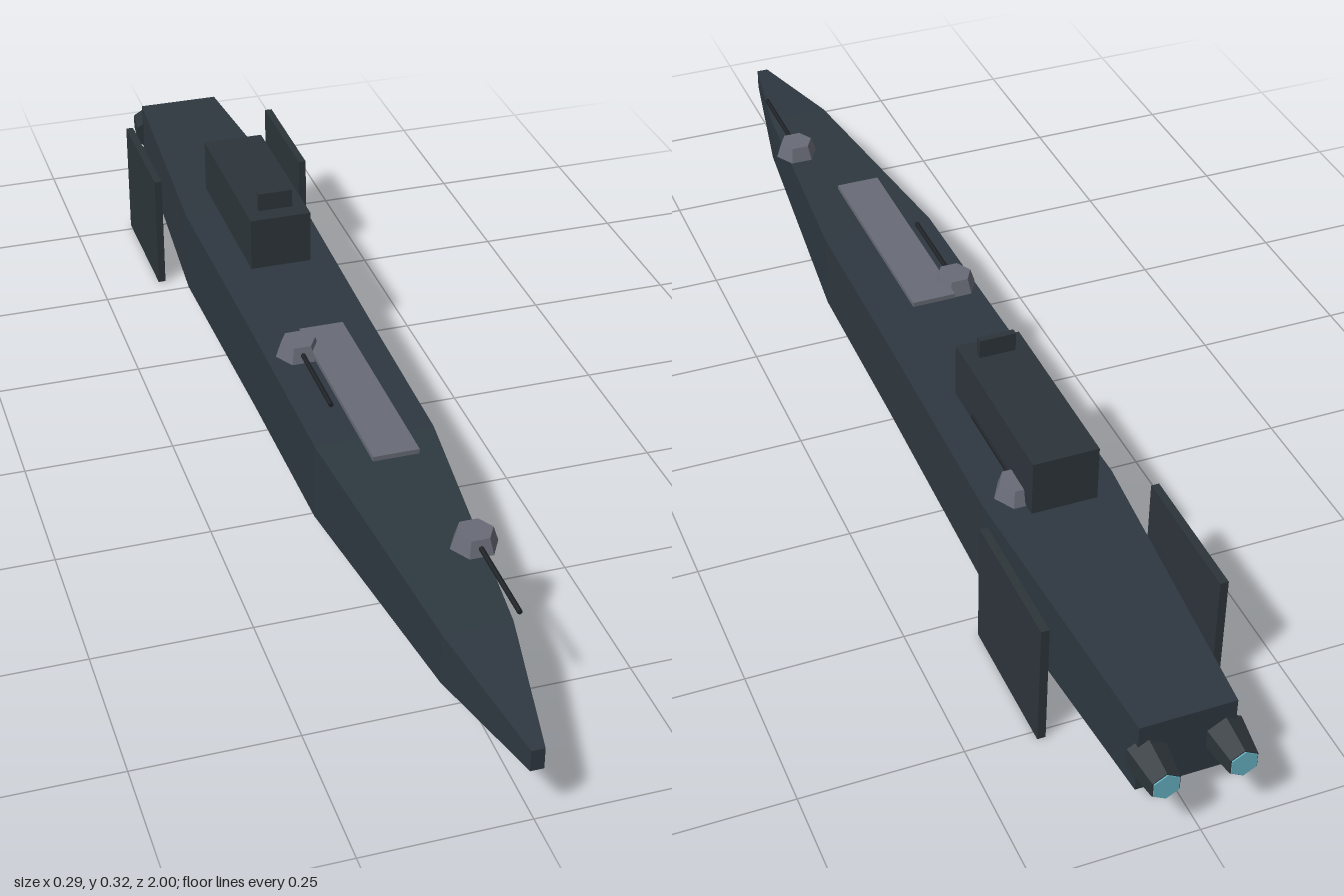
import * as THREE from 'three';

export function createModel() {
  const model = new THREE.Group();
  model.name = 'warship';

  const paint = (name, color) => {
    const m = new THREE.MeshStandardMaterial({ color, flatShading: true });
    m.name = name;
    return m;
  };
  const hullPaint = paint('hull slate', 0x2e3840);
  const finPaint = paint('structure slate', 0x2d353a);
  const lightGrey = paint('light grey', 0x686b76);
  const darkMetal = paint('dark metal', 0x1e2226);
  const glow = paint('engine glow', 0x66b0c2);

  const add = (name, geometry, material, x, y, z, parent = model) => {
    const mesh = new THREE.Mesh(geometry, material);
    mesh.name = name;
    mesh.position.set(x, y, z);
    parent.add(mesh);
    return mesh;
  };
  const box = (name, w, h, d, material, x, y, z) =>
    add(name, new THREE.BoxGeometry(w, h, d), material, x, y, z);

  // Hull: rectangular sections from bow to stern [z, half width, bottom, top]
  const sections = [
    [1, 0.01, 0.088, 0.123],
    [0.77, 0.053, 0.064, 0.149],
    [0.31, 0.097, 0.039, 0.172],
    [-0.02, 0.1, 0.036, 0.175],
    [-0.45, 0.107, 0.031, 0.179],
    [-0.94, 0.074, 0.047, 0.166],
  ];
  const points = [];
  const faces = [];
  sections.forEach(([z, w, lo, hi], i) => {
    points.push(-w, lo, z, w, lo, z, w, hi, z, -w, hi, z);
    if (i === 0) return;
    for (let k = 0; k < 4; k++) {
      const a = (i - 1) * 4 + k, b = (i - 1) * 4 + (k + 1) % 4;
      faces.push(a, a + 4, b, b, a + 4, b + 4);
    }
  });
  const last = (sections.length - 1) * 4;
  faces.push(0, 1, 2, 0, 2, 3, last, last + 2, last + 1, last, last + 3, last + 2);
  const hullShape = new THREE.BufferGeometry();
  hullShape.setAttribute('position', new THREE.Float32BufferAttribute(points, 3));
  hullShape.setIndex(faces);
  const hullFlat = hullShape.toNonIndexed();
  hullFlat.computeVertexNormals();
  add('hull', hullFlat, hullPaint, 0, 0, 0);

  // Superstructure and deck plate
  box('bridge', 0.106, 0.093, 0.31, finPaint, 0, 0.2415, -0.36);
  box('bridgeMast', 0.06, 0.032, 0.011, finPaint, 0, 0.304, -0.242);
  box('deckPlate', 0.074, 0.008, 0.385, lightGrey, 0, 0.205, 0.222);

  // Side fins and twin engines
  for (const [side, s] of [['left', 1], ['right', -1]]) {
    box(side + 'Fin', 0.013, 0.21, 0.23, finPaint, s * 0.1375, 0.105, -0.65);

    const engine = new THREE.Group();
    engine.name = side + 'Engine';
    engine.position.set(s * 0.058, 0.107, -0.965);
    engine.rotation.x = -Math.PI / 2;
    model.add(engine);
    add('nozzle', new THREE.CylinderGeometry(0.024, 0.033, 0.066, 6), finPaint, 0, 0, 0, engine);
    add('exhaustGlow', new THREE.CylinderGeometry(0.022, 0.022, 0.004, 6), glow, 0, 0.033, 0, engine);
  }

  // Gun barrels lie along z
  const barrel = new THREE.CylinderGeometry(0.004, 0.004, 0.157, 6).rotateX(Math.PI / 2);

  // Deck turrets, alternating sides
  const turretBody = new THREE.CylinderGeometry(0.029, 0.0375, 0.026, 6).rotateY(Math.PI / 6);
  for (const [x, y, z] of [[0.053, 0.18, 0.61], [-0.053, 0.205, 0.075], [0.053, 0.205, -0.46]]) {
    const turret = new THREE.Group();
    turret.name = 'turret';
    turret.position.set(x, y, z);
    model.add(turret);
    add('turretBody', turretBody, lightGrey, 0, 0, 0, turret);
    add('turretBarrel', barrel, darkMetal, 0, 0, 0.102, turret);
  }

  // Underside barrels
  add('lowerFrontBarrel', barrel, darkMetal, 0.053, 0.006, 0.447);
  add('lowerRearBarrel', barrel, darkMetal, -0.053, 0.006, -0.088);

  return model;
}
